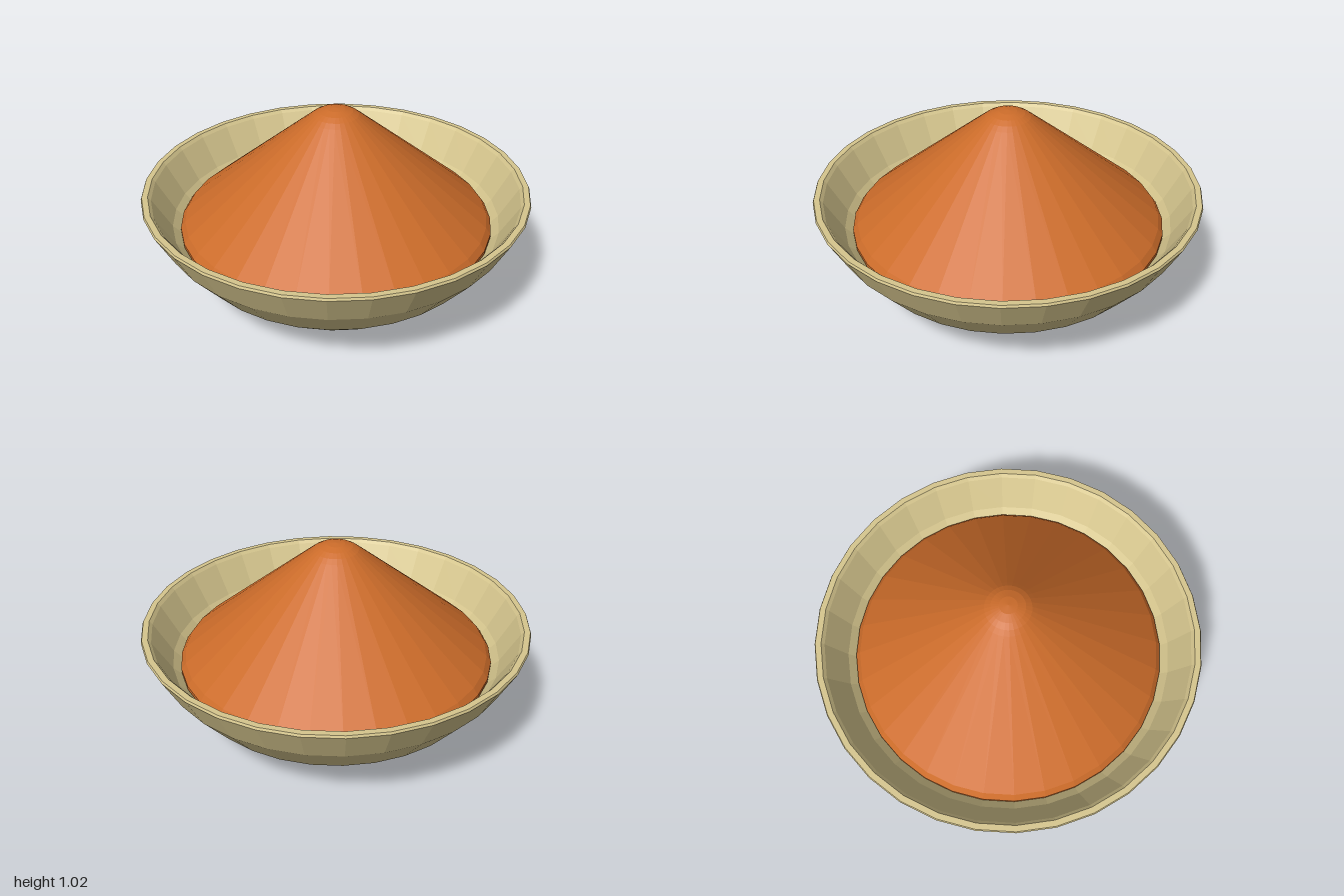
import * as THREE from 'three';

const SIDES = 32;

// Turned part from [radius, height] pairs
function turned(name, profile, color) {
  const points = profile.map(([r, y]) => new THREE.Vector2(r, y));
  const mesh = new THREE.Mesh(
    new THREE.LatheGeometry(points, SIDES),
    new THREE.MeshStandardMaterial({ color, flatShading: true })
  );
  mesh.name = name;
  return mesh;
}

export function createModel() {
  const group = new THREE.Group();
  group.name = 'bowlOfSpice';

  // Bowl: flat foot, outer wall, bevelled rim, inner wall and floor
  group.add(turned('bowl', [
    [0, 0], [0.42, 0], [0.6, 0.1], [0.77, 0.24], [0.91, 0.41],
    [1, 0.58], [0.995, 0.592], [0.965, 0.592], [0.95, 0.575],
    [0.855, 0.41], [0.72, 0.27], [0.56, 0.15], [0.4, 0.06], [0, 0.06],
  ], 0xd6c68e));

  // Heap: tucked-in lower edge, straight slope, rounded peak
  group.add(turned('spiceHeap', [
    [0, 0.33], [0.77, 0.33], [0.815, 0.375], [0.815, 0.395], [0.79, 0.43],
    [0.14, 0.965], [0.115, 0.985], [0.085, 1.002], [0.045, 1.015], [0, 1.02],
  ], 0xcc6c2a));

  return group;
}
